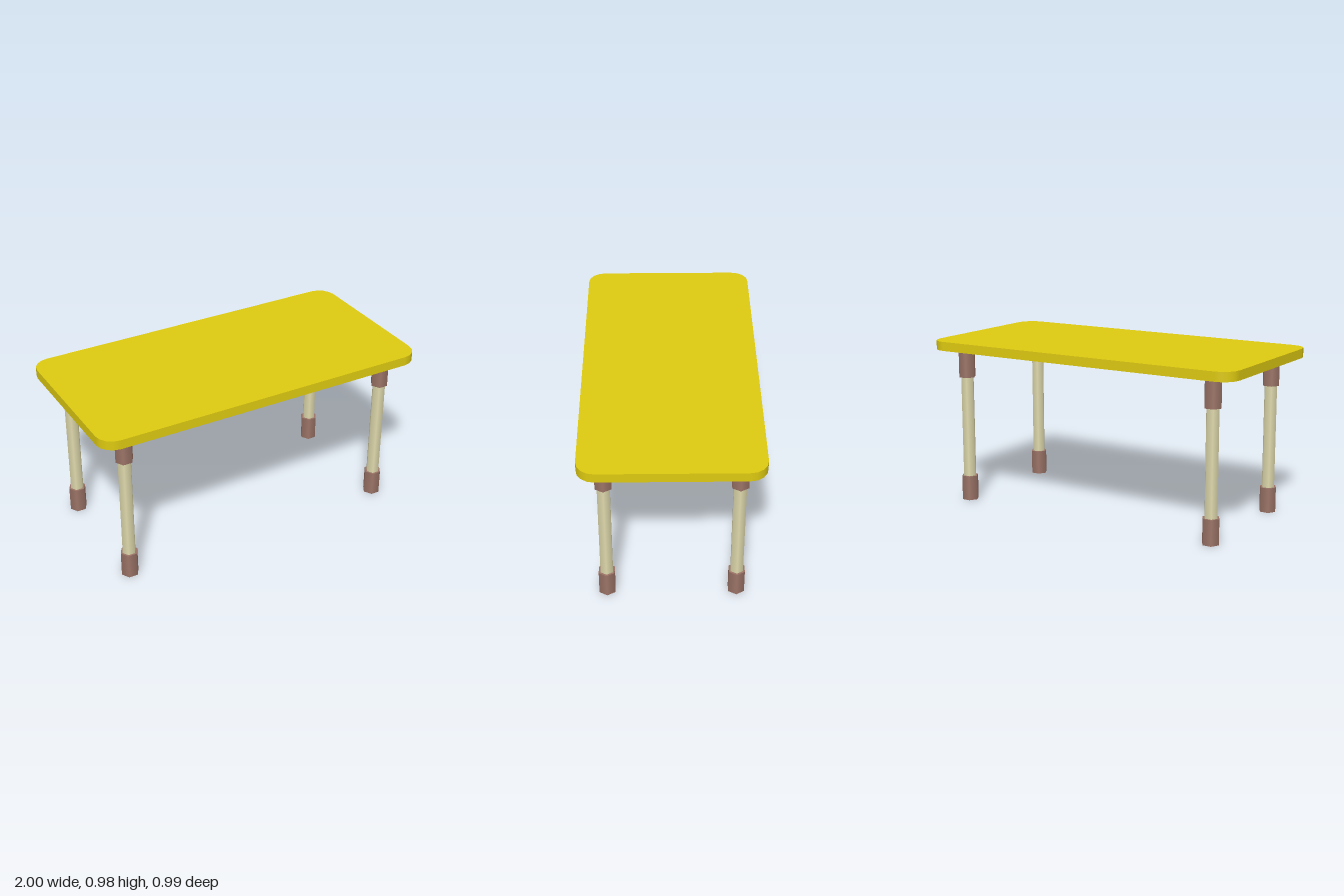
import * as THREE from 'three';

const yellow = new THREE.MeshStandardMaterial({ color: 0xdeca10 });
yellow.name = 'yellow top';
const brown = new THREE.MeshStandardMaterial({ color: 0x9c7467 });
brown.name = 'brown sleeve';
const cream = new THREE.MeshStandardMaterial({ color: 0xe0daad });
cream.name = 'cream pole';

// Rectangular slab with low-segment rounded corners, shaded as a smooth rim
function slabGeometry(halfX, halfZ, r, y0, y1) {
  const ix = halfX - r, iz = halfZ - r;
  const shape = new THREE.Shape();
  shape.absarc(ix, iz, r, 0, Math.PI / 2);
  shape.absarc(-ix, iz, r, Math.PI / 2, Math.PI);
  shape.absarc(-ix, -iz, r, Math.PI, Math.PI * 1.5);
  shape.absarc(ix, -iz, r, Math.PI * 1.5, Math.PI * 2);
  const geo = new THREE.ExtrudeGeometry(shape, { depth: y1 - y0, bevelEnabled: false, curveSegments: 2 });
  geo.rotateX(-Math.PI / 2).translate(0, y0, 0);

  // Rim normals point away from each corner's arc centre
  const pos = geo.attributes.position, nor = geo.attributes.normal;
  const n = new THREE.Vector3();
  for (let i = 0; i < pos.count; i++) {
    if (Math.abs(nor.getY(i)) > 0.5) continue;
    const x = pos.getX(i), z = pos.getZ(i);
    n.set(x - THREE.MathUtils.clamp(x, -ix, ix), 0, z - THREE.MathUtils.clamp(z, -iz, iz)).normalize();
    nor.setXYZ(i, n.x, n.y, n.z);
  }
  return geo;
}

// Six-sided upright tube between two heights, with corners on the x axis
function hexPost(name, radius, y0, y1, material) {
  const geo = new THREE.CylinderGeometry(radius, radius, y1 - y0, 6);
  geo.rotateY(Math.PI / 6).translate(0, (y0 + y1) / 2, 0);
  const mesh = new THREE.Mesh(geo, material);
  mesh.name = name;
  return mesh;
}

export function createModel() {
  const table = new THREE.Group();
  table.name = 'table';

  const top = new THREE.Mesh(slabGeometry(1, 0.497, 0.1, 0.928, 0.982), yellow);
  top.name = 'tabletop';
  table.add(top);

  // Four legs: foot, pole and upper sleeve
  for (const [side, x] of [['Left', 0.829], ['Right', -0.829]]) {
    for (const [end, z] of [['front', 0.3625], ['back', -0.3625]]) {
      const leg = new THREE.Group();
      leg.name = `${end}${side}Leg`;
      leg.add(
        hexPost('foot', 0.0515, 0, 0.149, brown),
        hexPost('pole', 0.0395, 0.14, 0.77, cream),
        hexPost('upperSleeve', 0.0515, 0.759, 0.928, brown)
      );
      leg.position.set(x, 0, z);
      table.add(leg);
    }
  }
  return table;
}
